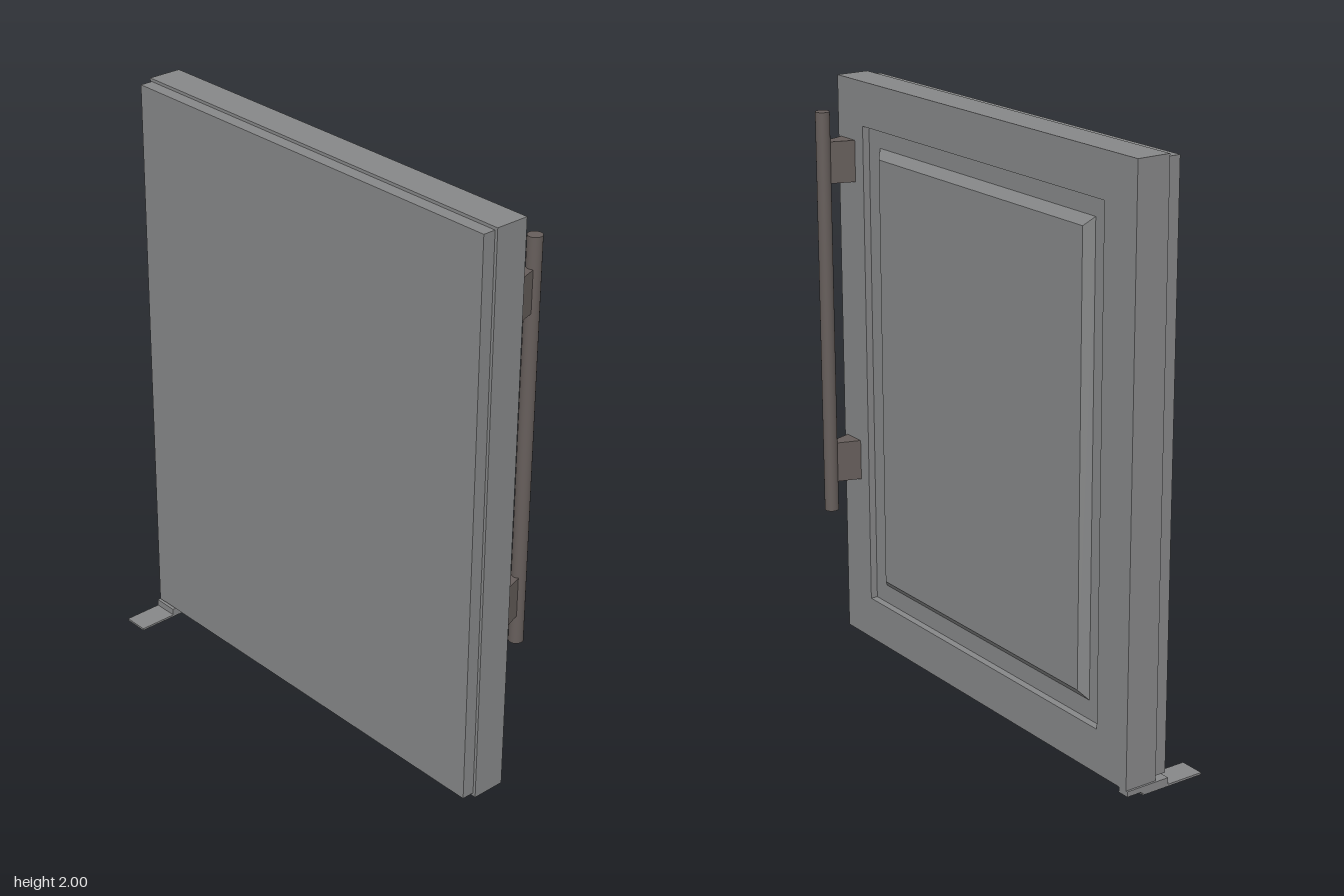
import * as THREE from 'three';

export function createModel() {
  const model = new THREE.Group();
  model.name = 'cabinetDoor';

  const grey = new THREE.MeshStandardMaterial({ color: 0x868788 });
  grey.name = 'panel grey';
  const bronze = new THREE.MeshStandardMaterial({ color: 0x665e5b });
  bronze.name = 'handle bronze';

  const add = (name, geometry, material) => {
    const mesh = new THREE.Mesh(geometry, material);
    mesh.name = name;
    model.add(mesh);
    return mesh;
  };

  // Box from ranges; its +x face can be narrowed in y and z
  const block = (name, [x0, x1], [y0, y1], [z0, z1], material, sy = 1, sz = 1) => {
    const g = new THREE.BoxGeometry(x1 - x0, y1 - y0, z1 - z0);
    const p = g.attributes.position;
    for (let i = 0; i < p.count; i++) {
      if (p.getX(i) > 0) {
        p.setY(i, p.getY(i) * sy);
        p.setZ(i, p.getZ(i) * sz);
      }
    }
    g.computeVertexNormals();
    g.translate((x0 + x1) / 2, (y0 + y1) / 2, (z0 + z1) / 2);
    return add(name, g, material);
  };

  // Outer frame with a rectangular opening, extruded along x
  const rect = (path, z0, z1, y0, y1) => {
    path.moveTo(-z1, y0);
    path.lineTo(-z0, y0);
    path.lineTo(-z0, y1);
    path.lineTo(-z1, y1);
    path.closePath();
    return path;
  };
  const outline = rect(new THREE.Shape(), -0.78, 0.787, 0.03, 2);
  outline.holes.push(rect(new THREE.Path(), -0.632, 0.64, 0.18, 1.852));
  const frame = new THREE.ExtrudeGeometry(outline, { depth: 0.117, bevelEnabled: false });
  frame.rotateY(Math.PI / 2);
  frame.translate(-0.031, 0, 0);
  add('doorFrame', frame, grey);

  // Sunken field, raised centre panel and inner liner
  block('recessField', [-0.031, 0.061], [0.18, 1.852], [-0.632, 0.64], grey);
  block('raisedPanel', [0.061, 0.086], [0.245, 1.787], [-0.562, 0.575], grey, 1.482 / 1.542, 1.078 / 1.137);
  block('innerLiner', [-0.075, -0.031], [0.042, 1.99], [-0.772, 0.777], grey);

  // Handle: round bar on two wedge mounts
  const handleZ = 0.73;
  const bar = new THREE.CylinderGeometry(0.024, 0.024, 1.39, 32);
  bar.translate(0.183, 1.203, handleZ);
  add('handleBar', bar, bronze);
  for (const y of [0.61, 1.657]) {
    block('handleMount', [0.086, 0.175], [y, y + 0.14], [handleZ - 0.041, handleZ + 0.041], bronze, 1, 0.3);
  }

  // Bottom hinge: thin leaf, body and front tab
  block('hingeLeaf', [-0.21, 0.025], [0, 0.007], [-0.787, -0.7], grey);
  block('hingeBody', [-0.075, 0.03], [0.007, 0.03], [-0.787, -0.7], grey);
  block('hingeTab', [0.03, 0.086], [0.012, 0.03], [-0.787, -0.745], grey);

  return model;
}
